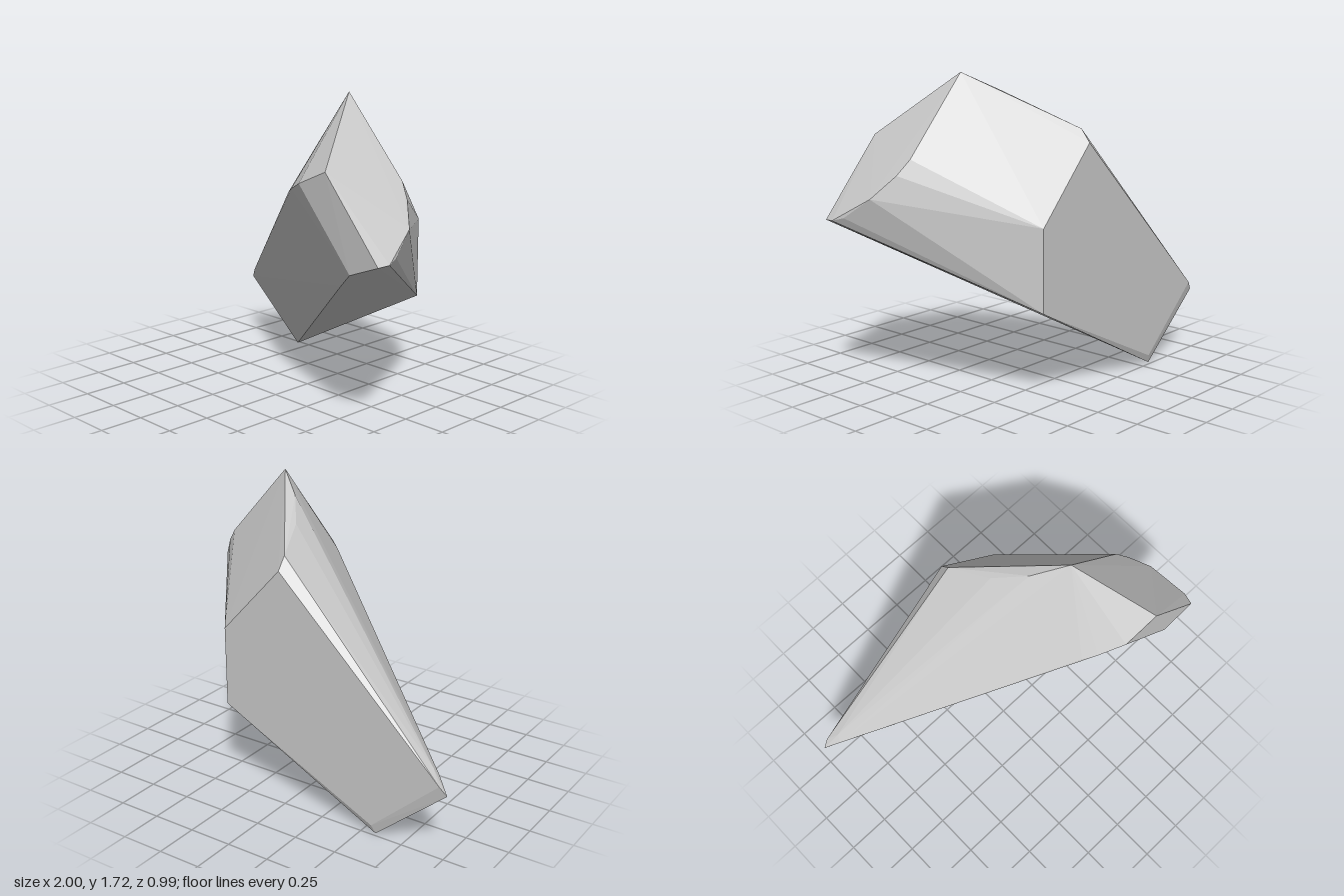
import * as THREE from 'three';
import { ConvexGeometry } from 'three/addons/geometries/ConvexGeometry.js';

export function createModel() {
  const group = new THREE.Group();
  group.name = 'wedgeBlock';
  const grey = new THREE.MeshStandardMaterial({ color: 0xc8c8c8 });
  grey.name = 'lightGrey';

  const corners = [
    // narrow lower end, with its small bevels
    [-1, 0.36, -0.48], [-0.58, 0, -0.48], [-0.96, 0.41, -0.495], [-0.56, 0.05, -0.495],
    [-0.92, 0.43, -0.42], [-0.9, 0.48, -0.45],
    // flat back
    [0.02, 1.36, -0.495], [0.39, 0.96, -0.495], [0.39, 0.51, -0.495],
    // upper ridge rising to the peak
    [0.02, 1.43, -0.44], [0.11, 1.525, -0.21], [0.23, 1.625, -0.05], [0.39, 1.72, 0.08],
    // slanted end face and its rounded edge
    [0.63, 1.38, 0.495], [0.985, 0.965, 0.495], [1, 0.97, 0.43], [0.98, 0.99, 0.36],
    [0.93, 1.1, 0.21], [0.83, 1.22, 0.115], [0.765, 1.3, 0.08],
    // bevel towards the sloping front
    [0.43, 1.295, 0.48], [0.3, 1.24, 0.41], [0.23, 1.21, 0.36],
    [0.79, 0.89, 0.485], [0.62, 0.78, 0.37],
  ].map(p => new THREE.Vector3(...p));

  const block = new THREE.Mesh(new ConvexGeometry(corners), grey);
  block.name = 'facetedBlock';
  group.add(block);
  return group;
}
